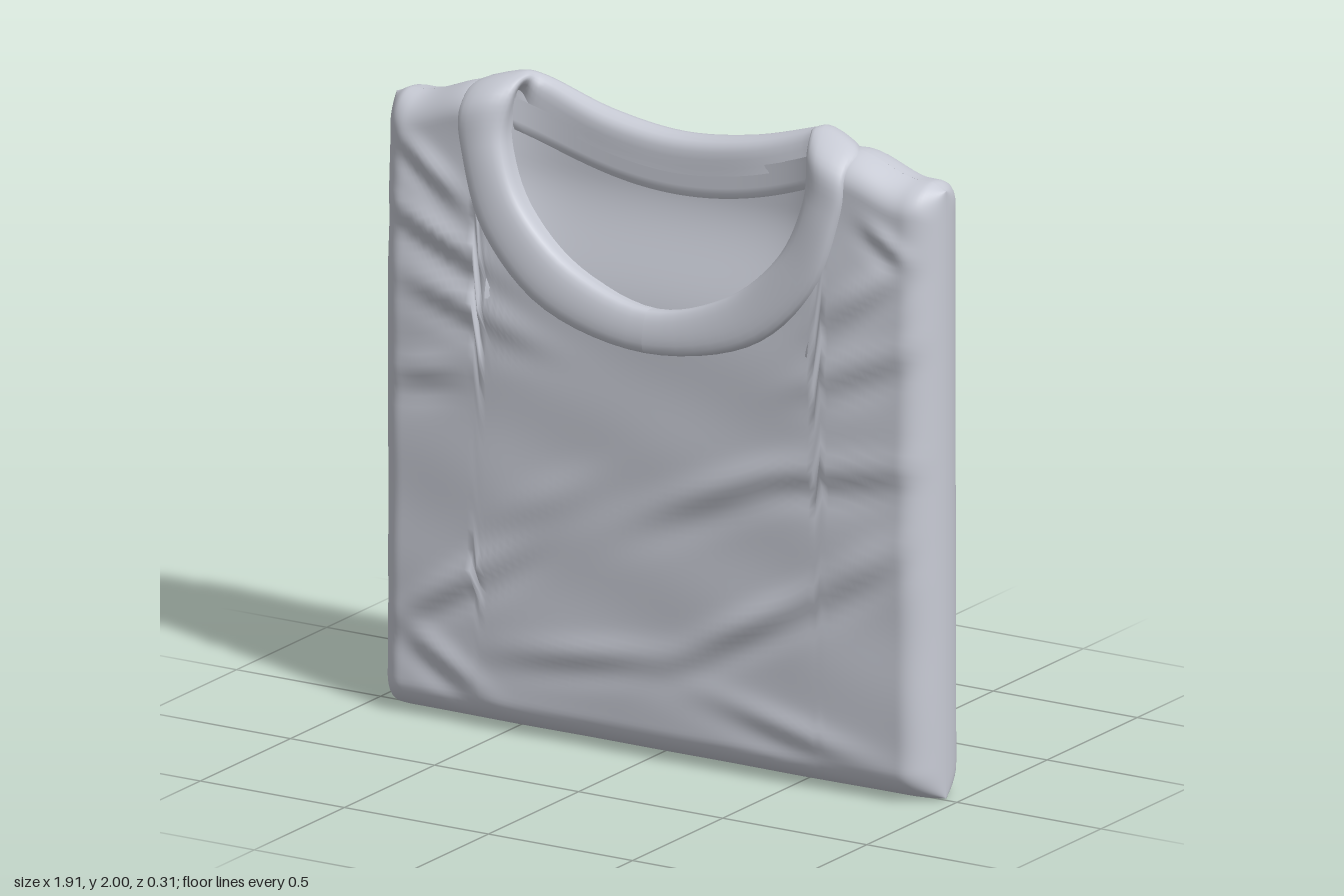
import * as THREE from 'three';

const cloth = new THREE.MeshStandardMaterial({ color: 0xc8cbd5, side: THREE.DoubleSide });
cloth.name = 'pale grey cloth';

const W = 0.953;
const { smoothstep, lerp } = THREE.MathUtils;

// Grid surface from a rule point(u, v) -> [x, y, z]
function sheet(name, nu, nv, point, flip = false) {
  const pos = [], index = [];
  for (let i = 0; i <= nu; i++)
    for (let j = 0; j <= nv; j++) pos.push(...point(i / nu, j / nv));
  for (let i = 0; i < nu; i++)
    for (let j = 0; j < nv; j++) {
      const a = i * (nv + 1) + j, b = a + nv + 1;
      if (flip) index.push(a, a + 1, b, b, a + 1, b + 1);
      else index.push(a, b, a + 1, b, b + 1, a + 1);
    }
  const geo = new THREE.BufferGeometry();
  geo.setAttribute('position', new THREE.Float32BufferAttribute(pos, 3));
  geo.setIndex(index);
  geo.computeVertexNormals();
  const mesh = new THREE.Mesh(geo, cloth);
  mesh.name = name;
  return mesh;
}

// Shoulder line, dipping between the neck points
function topLine(x) {
  const a = Math.abs(x);
  if (a < 0.5) return 1.84 + 0.1 * (a / 0.5) ** 2;
  if (a < 0.66) return lerp(1.94, 1.95, (a - 0.5) / 0.16);
  return lerp(1.95, 1.89, smoothstep(a, 0.64, 0.86)) - 0.02 * smoothstep(a, 0.9, W);
}

// Rounded edge: 0 on the outline, 1 once r inside it
const roll = (d, r) => Math.sqrt(Math.max(0, 1 - (1 - Math.min(d / r, 1)) ** 2));

// Folds: x, y, angle in degrees, half length, half width, height
const folds = [
  [-0.62, 0.47, 33, 0.24, 0.035, 0.022], [-0.2, 0.3, 8, 0.3, 0.04, 0.012],
  [0.35, 0.48, 30, 0.26, 0.04, 0.02], [0.25, 0.88, 25, 0.3, 0.045, 0.016],
  [0.68, 1.0, 12, 0.22, 0.04, 0.018], [0.72, 0.7, 35, 0.16, 0.04, 0.016],
  [-0.72, 1.5, -22, 0.18, 0.04, 0.022], [-0.76, 1.7, -35, 0.13, 0.035, 0.018],
  [-0.62, 1.3, -15, 0.2, 0.04, 0.018], [-0.78, 1.08, 15, 0.12, 0.04, 0.015],
  [0.72, 1.54, 38, 0.15, 0.035, 0.02], [0.72, 1.33, 25, 0.18, 0.04, 0.018],
  [0.82, 1.72, -30, 0.08, 0.03, 0.014], [0.5, 0.18, -12, 0.25, 0.04, 0.012],
  [-0.7, 0.2, -30, 0.14, 0.04, 0.015], [-0.35, 0.75, 30, 0.2, 0.05, 0.01],
];
function wrinkle(x, y) {
  let z = 0.004 * Math.sin(9 * x + 5 * y) * Math.sin(11 * y - 4 * x);
  for (const [fx, fy, deg, len, wid, height] of folds) {
    const c = Math.cos(deg * Math.PI / 180), s = Math.sin(deg * Math.PI / 180);
    const p = ((x - fx) * c + (y - fy) * s) / len;
    const q = ((y - fy) * c - (x - fx) * s) / wid;
    z += height * Math.exp(-p * p) * (Math.exp(-q * q) - 0.5 * Math.exp(-((q + 1.8) ** 2)));
  }
  return z;
}

const spreadX = u => W * Math.sin((u - 0.5) * Math.PI);
const spreadY = v => 0.5 - 0.5 * Math.cos(v * Math.PI);

// Front panel, cut away under the collar
function frontPoint(u, v) {
  const x = spreadX(u), neck = Math.abs(x) < 0.59;
  const top = neck ? 1.82 - 0.51 * Math.sqrt(1 - (x / 0.59) ** 2) : topLine(x);
  const y = top * spreadY(v);
  const h = roll(W - Math.abs(x), 0.09) * roll(y, 0.1) * (neck ? 1 : roll(top - y, 0.09));
  const z = 0.122 - 0.02 * smoothstep(y, 1.3, 1.9) - 0.01 * smoothstep(Math.abs(x), 0.5, 0.95);
  return [x, y, -0.015 + h * (z + 0.015 + wrinkle(x, y))];
}

// Smooth back panel
function backPoint(u, v) {
  const x = spreadX(u), top = topLine(x), y = top * spreadY(v);
  const h = roll(W - Math.abs(x), 0.07) * roll(y, 0.08) * roll(top - y, 0.07);
  const inNeck = (1 - smoothstep(Math.abs(x), 0.46, 0.6)) * smoothstep(y, 1.5, 1.75);
  const edge = lerp(-0.015, -0.08, inNeck);
  return [x, y, lerp(edge, -0.138 + 0.003 * Math.sin(5 * x + 2 * y), h)];
}

// Lining seen through the neck opening
function liningPoint(x, y) {
  const z = 0.07 - 0.105 * smoothstep(y, 1.3, 1.72) + 0.06 * (Math.abs(x) / 0.56) ** 6;
  return [x, y, z];
}
const liningTop = x => 1.8 + 0.11 * (x / 0.5) ** 2;

// Half collar from front centre to back centre: five section points each,
// running inner tuck, inner lip, crown, outer rim, outer tuck
const stations = [
  [0, 1.37, 0.05, 0, 1.38, 0.12, 0, 1.32, 0.148, 0, 1.26, 0.143, 0, 1.25, 0.1],
  [0.27, 1.45, 0.05, 0.27, 1.46, 0.115, 0.31, 1.4, 0.143, 0.345, 1.335, 0.138, 0.35, 1.32, 0.1],
  [0.45, 1.61, 0.04, 0.45, 1.62, 0.11, 0.5, 1.58, 0.135, 0.56, 1.53, 0.13, 0.57, 1.52, 0.09],
  [0.53, 1.79, 0.02, 0.525, 1.8, 0.095, 0.58, 1.79, 0.125, 0.645, 1.77, 0.12, 0.655, 1.76, 0.08],
  [0.53, 1.92, 0, 0.515, 1.93, 0.06, 0.57, 1.93, 0.1, 0.66, 1.9, 0.1, 0.67, 1.89, 0.07],
  [0.53, 1.93, -0.03, 0.495, 1.985, 0, 0.53, 1.995, -0.01, 0.64, 1.963, -0.01, 0.67, 1.93, -0.01],
  [0.47, 1.87, -0.03, 0.46, 1.955, -0.045, 0.48, 1.975, -0.09, 0.54, 1.9, -0.14, 0.56, 1.86, -0.13],
  [0.25, 1.8, -0.02, 0.25, 1.89, -0.03, 0.25, 1.91, -0.09, 0.25, 1.82, -0.15, 0.25, 1.77, -0.132],
  [0, 1.77, -0.02, 0, 1.86, -0.03, 0, 1.88, -0.09, 0, 1.79, -0.155, 0, 1.74, -0.134],
];
function collar() {
  // Mirror the stations into a closed loop
  const mirrored = stations.slice(1, -1).reverse().map(s => s.map((n, i) => (i % 3 ? n : -n)));
  const loop = [...stations, ...mirrored];
  const rails = [0, 3, 6, 9, 12].map(k => new THREE.CatmullRomCurve3(
    loop.map(s => new THREE.Vector3(s[k], s[k + 1], s[k + 2])), true, 'catmullrom', 0.5));
  return sheet('collar', 96, 16, (u, v) => {
    const section = new THREE.CatmullRomCurve3(rails.map(r => r.getPoint(u % 1)));
    return section.getPoint(v).toArray();
  }, true);
}

export function createModel() {
  const shirt = new THREE.Group();
  shirt.name = 'folded shirt';
  shirt.add(
    sheet('frontPanel', 110, 90, frontPoint),
    sheet('backPanel', 80, 60, backPoint, true),
    sheet('neckLining', 40, 24, (u, v) => {
      const x = lerp(-0.56, 0.56, u);
      return liningPoint(x, lerp(1.33, liningTop(x), v));
    }),
    // Raised tape below the back of the collar
    sheet('neckTape', 40, 6, (u, v) => {
      const x = lerp(-0.53, 0.53, u), top = liningTop(x);
      const [, y, z] = liningPoint(x, lerp(top - 0.1, top, v));
      return [x, y, z + (v > 0 ? 0.009 : 0)];
    }),
    collar(),
  );
  return shirt;
}
